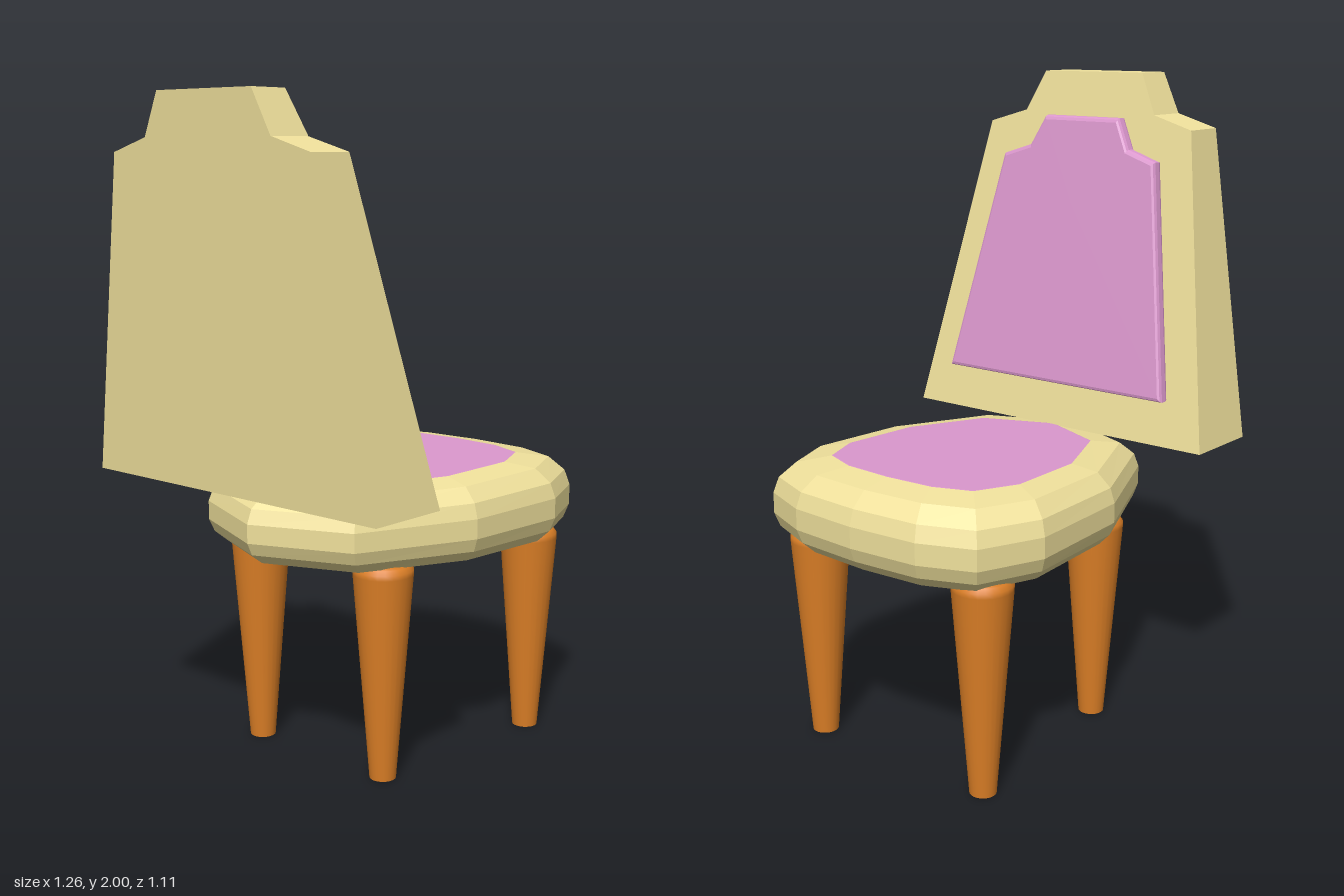
import * as THREE from 'three';

const CREAM = 0xf0e19c, PINK = 0xdc98ce, ORANGE = 0xdc7f26;
const mat = (color, flatShading = true) => new THREE.MeshStandardMaterial({ color, flatShading });

// Mirrors half an outline [u, v] across u = 0
const mirrorU = (half) => [...half, ...half.slice().reverse().map(([u, v]) => [-u, v])];

// Skins equal-length rings of [x, y, z]; each end may be closed with a fan
function loft(rings, capStart = true, capEnd = true) {
  const n = rings[0].length, pos = rings.flat(), idx = [];
  for (let k = 0; k < rings.length - 1; k++) {
    for (let i = 0; i < n; i++) {
      const a = k * n + i, b = k * n + (i + 1) % n;
      idx.push(a, a + n, b, b, a + n, b + n);
    }
  }
  const cap = (k, end) => {
    const c = pos.length;
    pos.push([0, 1, 2].map((j) => rings[k].reduce((s, p) => s + p[j], 0) / n));
    for (let i = 0; i < n; i++) {
      const a = k * n + i, b = k * n + (i + 1) % n;
      idx.push(c, end ? b : a, end ? a : b);
    }
  };
  if (capStart) cap(0, false);
  if (capEnd) cap(rings.length - 1, true);
  const g = new THREE.BufferGeometry();
  g.setAttribute('position', new THREE.Float32BufferAttribute(pos.flat(), 3));
  g.setIndex(idx);
  const flat = g.toNonIndexed();
  flat.computeVertexNormals();
  return flat;
}

export function createModel() {
  const chair = new THREE.Group();
  chair.name = 'chair';
  const add = (name, geometry, material) => {
    const m = new THREE.Mesh(geometry, material);
    m.name = name;
    chair.add(m);
    return m;
  };

  // Seat: twelve-sided outlines of the rim and of the inlaid panel, [x, z]
  const close = (half) => [...half, ...half.slice(1, -1).reverse().map(([x, z]) => [x, -z])];
  const rim = close([[0.63, 0], [0.615, 0.23], [0.55, 0.395], [0.355, 0.475], [-0.01, 0.455], [-0.37, 0.3], [-0.495, 0]]);
  const panel = close([[0.475, 0], [0.465, 0.16], [0.42, 0.275], [0.285, 0.332], [0.02, 0.32], [-0.225, 0.215], [-0.32, 0]]);
  // Ring at inset t between both outlines; the seat thickens slightly to the front
  const seatRing = (t, y) => rim.map(([x, z], i) => {
    const px = THREE.MathUtils.lerp(x, panel[i][0], t);
    const pz = THREE.MathUtils.lerp(z, panel[i][1], t);
    return [px, 0.77 + (y - 0.77) * (1 + 0.12 * px), pz];
  });
  const profile = [[0.33, 0.657], [0.1, 0.69], [0, 0.73], [0, 0.79], [0.1, 0.835], [0.4, 0.877], [1, 0.893]];
  add('seat', loft(profile.map(([t, y]) => seatRing(t, y)), true, false), mat(CREAM));
  add('seatPanel', loft([seatRing(1, 0.893), seatRing(1.02, 0.8935)], false, true), mat(PINK));

  // Backrest: stepped outline [z, y] between two leaning planes
  const frontX = (y) => -0.31 - 0.18 * (y - 0.887);
  const backX = (y) => -0.57 - 0.058 * (y - 0.887);
  const backOutline = mirrorU([[0.557, 0.887], [0.385, 1.835], [0.247, 1.875], [0.185, 2]]);
  const plane = (outline, fx) => outline.map(([z, y]) => [fx(y), y, z]);
  add('backrest', loft([plane(backOutline, backX), plane(backOutline, frontX)]), mat(CREAM));

  // Bevelled cushion on the front of the backrest
  const padOutline = mirrorU([[0.42, 1.028], [0.29, 1.737], [0.188, 1.77], [0.14, 1.863]]);
  const padRing = (offset, s) => plane(
    padOutline.map(([z, y]) => [z * s, 1.43 + (y - 1.43) * s]), (y) => frontX(y) + offset);
  add('backCushion', loft([
    padRing(-0.01, 0.985), padRing(0.008, 1), padRing(0.028, 1), padRing(0.037, 0.99), padRing(0.04, 0.97),
  ]), mat(PINK));

  // Tapered legs with rounded shoulders
  const legProfile = [[0, 0], [0.04, 0], [0.04, 0], [0.09, 0.63], [0.09, 0.645], [0.08, 0.658], [0.07, 0.665], [0, 0.665]]
    .map(([r, y]) => new THREE.Vector2(r, y));
  const legGeometry = new THREE.LatheGeometry(legProfile, 24);
  for (const [end, x, z] of [['front', 0.435, 0.32], ['back', -0.195, 0.255]]) {
    for (const side of [1, -1]) {
      add(`${end}Leg${side > 0 ? 'A' : 'B'}`, legGeometry, mat(ORANGE, false)).position.set(x, 0, z * side);
    }
  }
  return chair;
}
